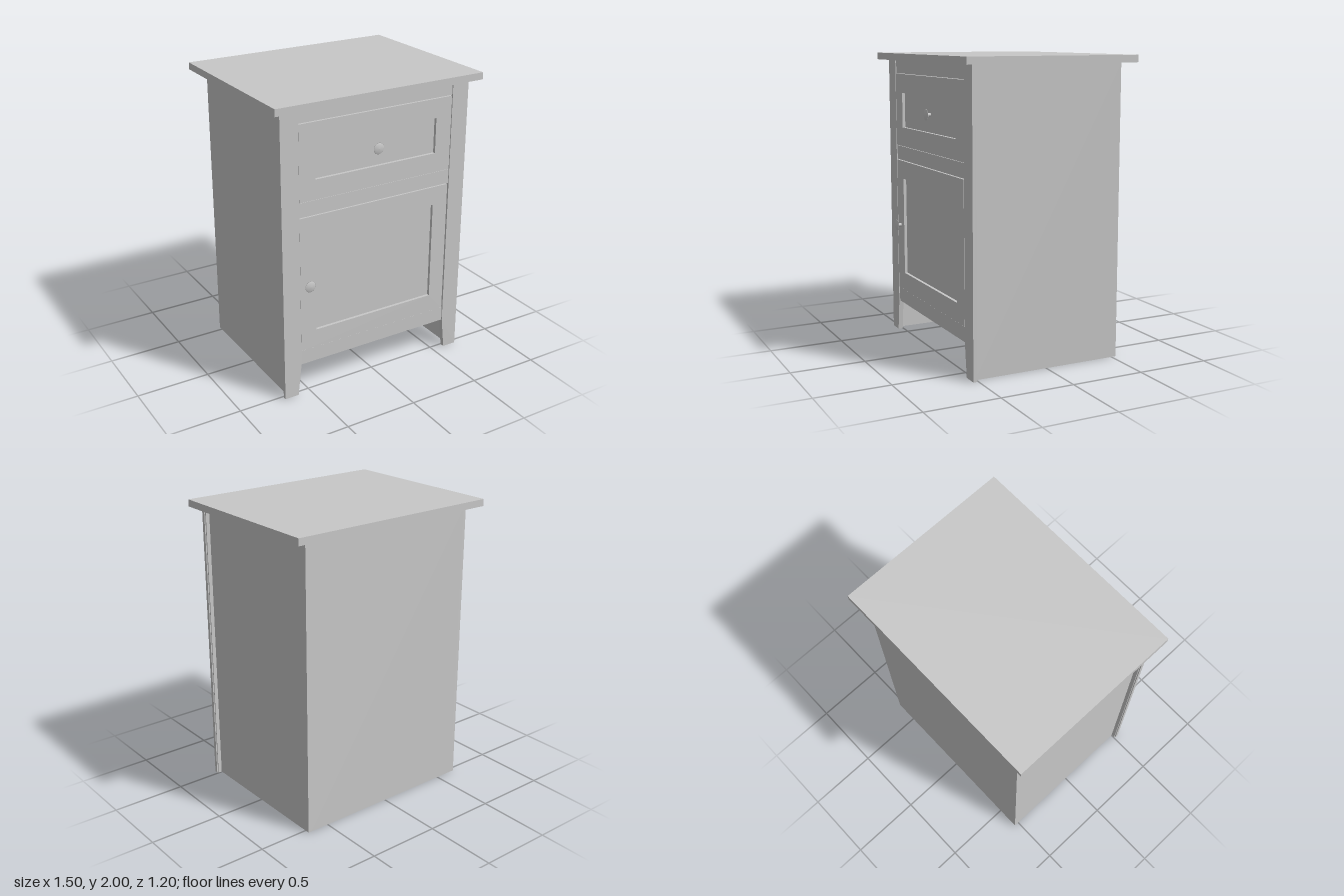
import * as THREE from 'three';

export function createModel() {
  const group = new THREE.Group();
  group.name = 'bedsideCabinet';
  const grey = new THREE.MeshStandardMaterial({ color: 0xc8c8c8 });
  grey.name = 'plain grey';

  function add(name, geometry) {
    const mesh = new THREE.Mesh(geometry, grey);
    mesh.name = name;
    group.add(mesh);
    return mesh;
  }

  // Box given by its limits on each axis
  function box(name, x0, x1, y0, y1, z0, z1) {
    const mesh = add(name, new THREE.BoxGeometry(x1 - x0, y1 - y0, z1 - z0));
    mesh.position.set((x0 + x1) / 2, (y0 + y1) / 2, (z0 + z1) / 2);
    return mesh;
  }

  // Flat outline pushed out from z0 to z1
  function plate(name, points, z0, z1, hole) {
    const toVectors = (list) => list.map(([x, y]) => new THREE.Vector2(x, y));
    const shape = new THREE.Shape(toVectors(points));
    if (hole) shape.holes.push(new THREE.Path(toVectors(hole)));
    const geometry = new THREE.ExtrudeGeometry(shape, { depth: z1 - z0, bevelEnabled: false });
    geometry.translate(0, 0, z0);
    return add(name, geometry);
  }
  const rect = (x0, x1, y0, y1) => [[x0, y0], [x1, y0], [x1, y1], [x0, y1]];

  // Carcass, narrower than the front posts
  box('top', -0.752, 0.752, 1.953, 2, -0.598, 0.598);
  box('backPanel', -0.637, 0.637, 0, 1.953, -0.533, -0.513);
  box('floor', -0.637, 0.637, 0.22, 0.24, -0.513, 0.5);

  for (const s of [-1, 1]) {
    const side = s > 0 ? 'left' : 'right';
    const span = (a, b) => (s > 0 ? [a, b] : [-b, -a]);
    box(side + 'SidePanel', ...span(0.637, 0.657), 0, 1.953, -0.533, 0.511);
    // Front post with a tapered foot, and a slightly smaller strip behind it
    const post = (edge) => [[edge, 0], [edge, 1.953], [0.567, 1.953], [0.567, 0.22], [0.592, 0]]
      .map(([x, y]) => [x * s, y]);
    plate(side + 'Post', post(0.69), 0.511, 0.535);
    plate(side + 'PostStrip', post(0.683), 0.503, 0.511);
  }

  // Front rails, set back a little from the posts
  for (const [name, y0, y1] of [
    ['topRail', 1.862, 1.953], ['middleRail', 1.257, 1.354], ['bottomRail', 0.22, 0.32],
  ]) box(name, -0.567, 0.567, y0, y1, 0.5, 0.528);

  // Backing behind the narrow gaps
  box('frontBacking', -0.637, 0.637, 0.24, 1.953, 0.48, 0.5);

  // Framed drawer and door fronts with sunken panels
  function front(name, x0, x1, y0, y1, p0, p1) {
    plate(name + 'Frame', rect(x0, x1, y0, y1), 0.5, 0.533, rect(-0.45, 0.445, p0, p1));
    box(name + 'Panel', -0.45, 0.445, p0, p1, 0.5, 0.513);
  }
  front('drawer', -0.565, 0.563, 1.358, 1.858, 1.49, 1.728);
  front('door', -0.565, 0.558, 0.324, 1.253, 0.45, 1.128);

  // Round knobs: slim stem and a thin domed head
  const profile = [
    [0.012, 0], [0.01, 0.026], [0.03, 0.029], [0.038, 0.031],
    [0.036, 0.033], [0.024, 0.036], [0.012, 0.038], [0, 0.039],
  ].map(([r, y]) => new THREE.Vector2(r, y));
  for (const [name, x, y, z] of [
    ['drawerKnob', 0, 1.608, 0.512], ['doorKnob', -0.51, 0.79, 0.533],
  ]) {
    const knob = add(name, new THREE.LatheGeometry(profile, 24));
    knob.rotation.x = Math.PI / 2;
    knob.position.set(x, y, z);
  }

  return group;
}
